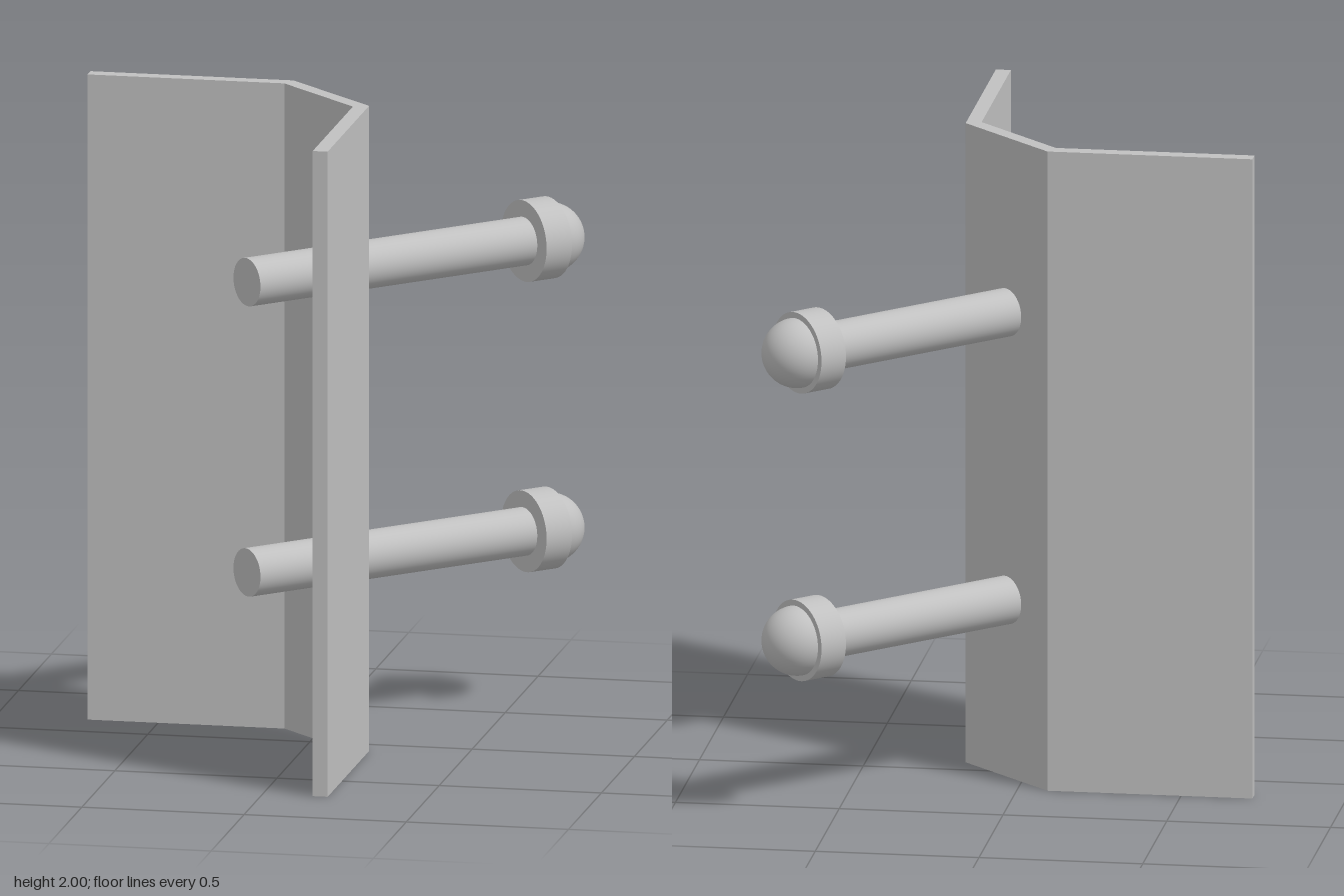
import * as THREE from 'three';

const steel = new THREE.MeshStandardMaterial({ color: 0xc0c0c0 });
steel.name = 'grey steel';

function part(name, geometry, y = 0) {
  const mesh = new THREE.Mesh(geometry, steel);
  mesh.name = name;
  mesh.position.y = y;
  return mesh;
}

// Bent plate: plan outline as (x, z), extruded upward
function anglePlate() {
  const outline = [
    [-0.718, -0.203], [-0.092, -0.203], [0.2, 0.087], [0.2, 0.716],
    [0.154, 0.716], [0.154, 0.106], [-0.111, -0.158], [-0.718, -0.158],
  ];
  const shape = new THREE.Shape(outline.map(([x, z]) => new THREE.Vector2(x, -z)));
  const geometry = new THREE.ExtrudeGeometry(shape, { depth: 2, bevelEnabled: false });
  geometry.rotateX(-Math.PI / 2);
  return part('anglePlate', geometry);
}

// Bolt built along its own y axis, starting at the free end of the shank
function bolt(name) {
  const shankLength = 1.003, collarThickness = 0.092;
  const group = new THREE.Group();
  group.name = name;
  group.add(
    part('shank', new THREE.CylinderGeometry(0.074, 0.074, shankLength, 48), shankLength / 2),
    part('collar', new THREE.CylinderGeometry(0.125, 0.125, collarThickness, 64), shankLength + collarThickness / 2),
    part('domeHead', new THREE.SphereGeometry(0.107, 48, 20, 0, Math.PI * 2, 0, Math.PI / 2), shankLength + collarThickness),
  );
  // Point diagonally through the bend, towards back left
  group.quaternion.setFromUnitVectors(
    new THREE.Vector3(0, 1, 0), new THREE.Vector3(1, 0, -1).normalize());
  return group;
}

export function createModel() {
  const model = new THREE.Group();
  model.name = 'anglePlateWithBolts';
  model.add(anglePlate());
  for (const [name, y] of [['lowerBolt', 0.553], ['upperBolt', 1.453]]) {
    const b = bolt(name);
    b.position.set(-0.162, y, 0.158);
    model.add(b);
  }
  return model;
}
